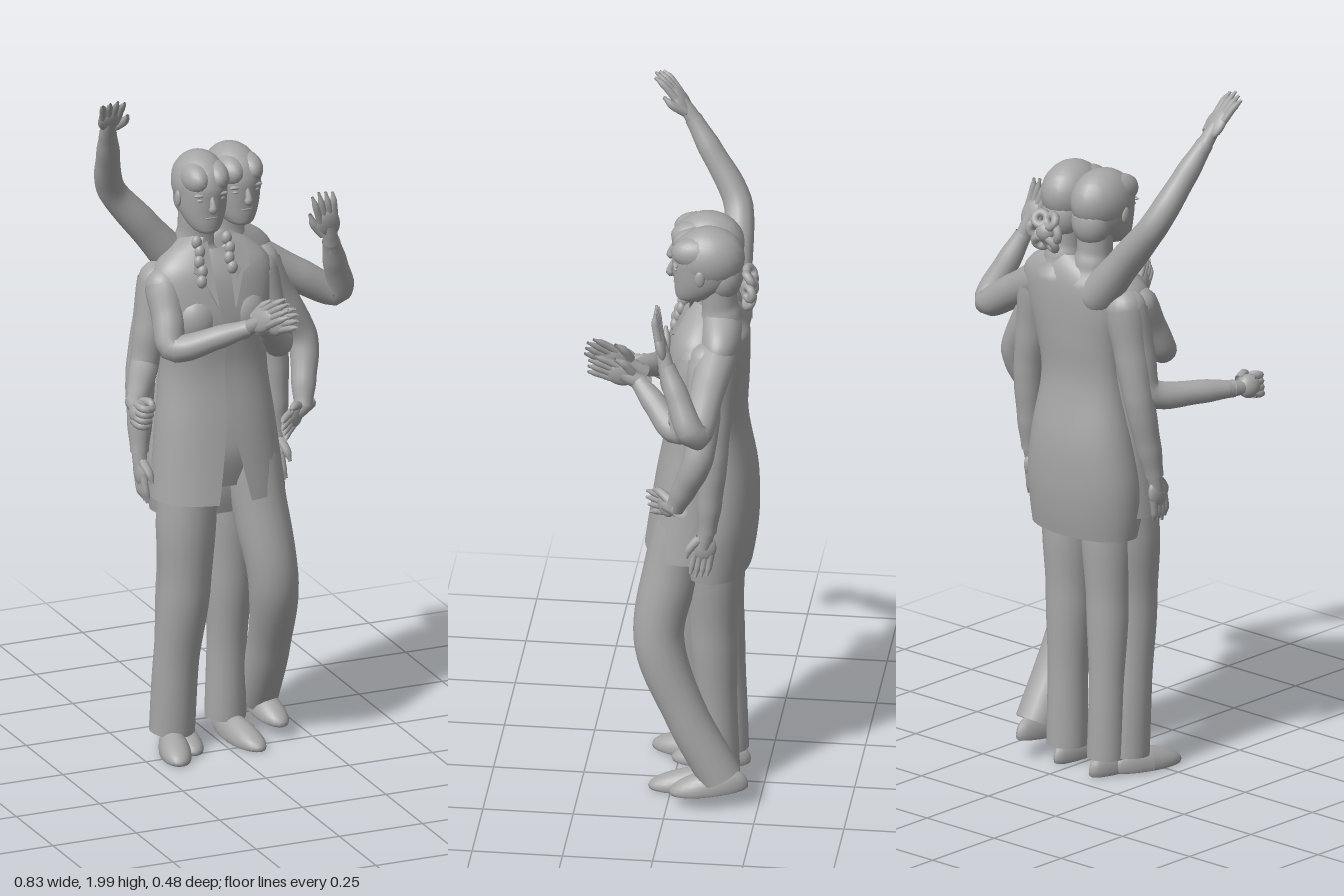
import * as THREE from 'three';
import { mergeVertices } from 'three/addons/utils/BufferGeometryUtils.js';

const grey = new THREE.MeshStandardMaterial({ color: 0xa6a6a6, side: THREE.DoubleSide });
grey.name = 'plain grey';
const V = (p) => new THREE.Vector3(...p);

function add(parent, name, geometry, pos = [0, 0, 0], scale = [1, 1, 1]) {
  const m = new THREE.Mesh(geometry, grey);
  m.name = name;
  m.position.set(...pos);
  m.scale.set(...scale);
  parent.add(m);
  return m;
}
const blob = (parent, name, pos, scale) => add(parent, name, new THREE.SphereGeometry(1, 20, 14), pos, scale);

// Smooth tube through points, with one radius per point
function limb(points, radii, sides = 14, seg = 24) {
  const curve = new THREE.CatmullRomCurve3(points.map(V), false, 'centripetal');
  const g = new THREE.TubeGeometry(curve, seg, 1, sides, false);
  const pos = g.attributes.position, v = new THREE.Vector3();
  for (let i = 0; i <= seg; i++) {
    const u = i / seg, c = curve.getPointAt(u);
    const f = curve.getUtoTmapping(u) * (radii.length - 1);
    const k = Math.min(Math.floor(f), radii.length - 2);
    const r = THREE.MathUtils.lerp(radii[k], radii[k + 1], THREE.MathUtils.smoothstep(f - k, 0, 1));
    for (let j = 0; j <= sides; j++) {
      const n = i * (sides + 1) + j;
      v.fromBufferAttribute(pos, n).sub(c).multiplyScalar(r).add(c);
      pos.setXYZ(n, v.x, v.y, v.z);
    }
  }
  return smooth(g);
}

function smooth(g) {
  g.deleteAttribute('normal');
  g.deleteAttribute('uv');
  const m = mergeVertices(g, 1e-5);
  m.computeVertexNormals();
  return m;
}

// Loft through sections [y, cx, cz, rx, rz, frontGap], listed from the top down
function loft(sections, power = 2, U = 40, W = 40) {
  const g = new THREE.PlaneGeometry(1, 1, U, W), pos = g.attributes.position;
  const at = (i, c) => sections[Math.max(0, Math.min(sections.length - 1, i))][c] || 0;
  const sample = (f, c) => {
    const k = Math.min(Math.floor(f), sections.length - 2), t = f - k;
    const [a, b, d, e] = [at(k - 1, c), at(k, c), at(k + 1, c), at(k + 2, c)];
    return 0.5 * (2 * b + (d - a) * t + (2 * a - 5 * b + 4 * d - e) * t * t + (3 * b - a - 3 * d + e) * t * t * t);
  };
  const bend = (s) => Math.sign(s) * Math.pow(Math.abs(s), 2 / power);
  for (let j = 0; j <= W; j++) {
    const f = (j / W) * (sections.length - 1);
    const [y, cx, cz, rx, rz, gap] = [0, 1, 2, 3, 4, 5].map((c) => sample(f, c));
    for (let i = 0; i <= U; i++) {
      const g0 = Math.max(0, gap);
      const th = g0 + (i / U) * (2 * Math.PI - 2 * g0);
      pos.setXYZ(j * (U + 1) + i, cx + Math.max(0, rx) * bend(Math.sin(th)), y, cz + Math.max(0, rz) * bend(Math.cos(th)));
    }
  }
  return smooth(g);
}

// Hand reaching from wrist to fingertip; side points towards the thumb
function hand(parent, name, wrist, tip, side, spread) {
  const g = new THREE.Group();
  g.name = name;
  const fist = spread === 0;
  const y = V(tip).sub(V(wrist)), L = y.length();
  y.normalize();
  const z = V(side).cross(y).normalize(), x = y.clone().cross(z);
  g.quaternion.setFromRotationMatrix(new THREE.Matrix4().makeBasis(x, y, z));
  g.position.set(...wrist);
  add(g, 'wrist', limb([[0, -0.03, 0], [0, 0.02, 0], [0, L * 0.35, 0]], [0.024, 0.021, 0.018], 10, 8));
  blob(g, 'palm', [0, L * (fist ? 0.5 : 0.36), 0], [0.034, L * (fist ? 0.36 : 0.29), fist ? 0.026 : 0.016]);
  for (let i = 0; i < 4; i++) {
    const s = 1.5 - i, reach = L * (1 - 0.05 * Math.abs(s - 0.4));
    const path = fist
      ? [[s * 0.016, L * 0.55, -0.012], [s * 0.017, L * 0.9, 0.0], [s * 0.017, L * 0.85, 0.024], [s * 0.016, L * 0.55, 0.03]]
      : [[s * 0.014, L * 0.45, 0], [s * (0.014 + spread * 0.005), L * 0.75, 0.004], [s * (0.013 + spread * 0.01), reach, 0.012]];
    add(g, 'finger', limb(path, fist ? [0.01, 0.011, 0.011, 0.006] : [0.011, 0.01, 0.004], 8, 10));
  }
  const thumb = fist ? [[0.02, L * 0.25, 0.01], [0.034, L * 0.55, 0.025], [0.015, L * 0.75, 0.038]]
    : [[0.018, L * 0.18, 0], [0.038, L * 0.4, 0.01], [0.043, L * 0.6, 0.016]];
  add(g, 'thumb', limb(thumb, [0.014, 0.012, 0.005], 8, 8));
  parent.add(g);
}

function head(parent, name, x, y, z, turn) {
  const g = new THREE.Group();
  g.name = name;
  g.position.set(x, y, z);
  g.rotation.y = turn;
  add(g, 'skull', loft([
    [0.212, 0, -0.01, 0, 0], [0.203, 0, -0.008, 0.036, 0.05], [0.18, 0, -0.004, 0.058, 0.082],
    [0.14, 0, 0, 0.07, 0.096], [0.1, 0, 0.001, 0.07, 0.094], [0.06, 0, 0.01, 0.064, 0.081],
    [0.025, 0, 0.028, 0.049, 0.06], [0.005, 0, 0.042, 0.03, 0.038], [0, 0, 0.045, 0, 0]], 2.1));
  blob(g, 'hair', [0, 0.13, -0.006], [0.0765, 0.088, 0.099]);
  blob(g, 'napeHair', [0, 0.075, -0.045], [0.06, 0.07, 0.055]);
  for (const s of [-1, 1]) {
    blob(g, 'foreheadHair', [s * 0.028, 0.155, 0.03], [0.04, 0.045, 0.066]);
    blob(g, 'ear', [s * 0.071, 0.095, 0.015], [0.008, 0.024, 0.014]);
    blob(g, 'eye', [s * 0.027, 0.106, 0.083], [0.014, 0.005, 0.007]);
    blob(g, 'brow', [s * 0.028, 0.12, 0.083], [0.022, 0.006, 0.009]);
  }
  add(g, 'nose', limb([[0, 0.118, 0.09], [0, 0.092, 0.1], [0, 0.08, 0.101], [0, 0.072, 0.088]], [0.006, 0.009, 0.013, 0.005], 10, 10));
  blob(g, 'upperLip', [0, 0.053, 0.085], [0.02, 0.004, 0.007]);
  blob(g, 'lowerLip', [0, 0.044, 0.083], [0.017, 0.005, 0.007]);
  add(g, 'neck', limb([[0, 0.08, -0.03], [0, -0.01, -0.035], [0, -0.05, -0.04], [0, -0.1, -0.04]], [0.05, 0.05, 0.057, 0.08]));
  parent.add(g);
  return g;
}

// Shoe with a flat sole, lower at the toe
function shoe(parent, name, x, y, z, length, turn, pitch) {
  const s = new THREE.SphereGeometry(1, 24, 16), p = s.attributes.position;
  for (let i = 0; i < p.count; i++) {
    const t = p.getZ(i);
    p.setXYZ(i, p.getX(i) * (0.042 + 0.008 * t), Math.max(0, p.getY(i) + 0.25) * (0.05 - 0.015 * t), t * length / 2);
  }
  s.computeVertexNormals();
  add(parent, name, s, [x, y, z]).rotation.set(pitch, turn, 0, 'YXZ');
}

export function createModel() {
  const model = new THREE.Group();
  model.name = 'twoDancers';

  // Front figure: open jacket over a shirt
  add(model, 'frontJacket', loft([
    [1.49, -0.02, -0.1, 0.06, 0.045, 0.5], [1.455, -0.02, -0.09, 0.12, 0.062, 0.4],
    [1.41, -0.02, -0.08, 0.165, 0.08, 0.25], [1.35, -0.02, -0.075, 0.178, 0.092, 0.14], [1.26, -0.02, -0.07, 0.168, 0.1, 0.05],
    [1.12, -0.02, -0.07, 0.156, 0.092, 0.01], [0.95, -0.018, -0.06, 0.173, 0.11, 0.06],
    [0.75, -0.014, -0.05, 0.193, 0.13, 0.22]], 2.2));
  add(model, 'frontShirt', loft([
    [1.46, -0.02, -0.09, 0.06, 0.05], [1.38, -0.02, -0.075, 0.15, 0.076], [1.25, -0.02, -0.07, 0.155, 0.088],
    [1.1, -0.02, -0.07, 0.145, 0.082], [0.95, -0.015, -0.06, 0.16, 0.095], [0.87, -0.01, -0.06, 0.165, 0.1],
    [0.78, -0.01, -0.06, 0.16, 0.08]], 2.2));
  for (const s of [-1, 1]) {
    blob(model, 'bust', [-0.02 + s * 0.07, 1.27, -0.02], [0.065, 0.075, 0.054]);
    const lapel = new THREE.Shape([[0, 0.1], [0.035, 0.085], [0.055, 0.02], [0.03, 0.0], [-0.005, -0.09]]
      .map(([a, b]) => new THREE.Vector2(a * s, b)));
    const m = add(model, 'lapel', new THREE.ExtrudeGeometry(lapel, { depth: 0.008, bevelEnabled: false }), [-0.02 + s * 0.03, 1.39, -0.004]);
    m.rotation.x = -0.4;
  }

  // Rear figure: longer closed tunic with narrow waist and full hips
  add(model, 'rearTunic', loft([
    [1.49, 0.04, -0.135, 0.06, 0.045], [1.455, 0.03, -0.14, 0.125, 0.058], [1.41, 0.02, -0.14, 0.165, 0.068],
    [1.34, 0.01, -0.135, 0.165, 0.075], [1.25, 0, -0.13, 0.145, 0.077], [1.13, -0.01, -0.125, 0.136, 0.078],
    [0.97, -0.012, -0.125, 0.165, 0.105], [0.85, -0.012, -0.12, 0.183, 0.114], [0.76, -0.012, -0.115, 0.182, 0.112],
    [0.69, -0.01, -0.115, 0.174, 0.1]], 2.1));

  // Heads, bun and braids
  head(model, 'frontHead', -0.05, 1.515, -0.085, -0.05);
  const rear = head(model, 'rearHead', 0.052, 1.52, -0.097, 0.05);
  for (let i = 0; i < 6; i++) {
    const a = (i / 6) * Math.PI * 2;
    const c = add(rear, 'bunCurl', new THREE.TorusGeometry(0.018, 0.012, 8, 14),
      [Math.cos(a) * 0.036, 0.04 + Math.sin(a) * 0.038, -0.118]);
    c.rotation.set(Math.sin(a) * 0.6, Math.cos(a) * 0.6, 0);
  }
  blob(rear, 'bunCentre', [0, 0.04, -0.118], [0.03, 0.03, 0.026]);
  for (const [x, n] of [[-0.085, 5], [0.005, 4]])
    for (let i = 0; i < n; i++)
      blob(model, 'braid', [x + (i % 2) * 0.006, 1.49 - i * 0.026, -0.03 + i * 0.009], [0.015, 0.019, 0.013]);

  // Arms: shoulder, elbow, wrist, fingertip, thumb side, finger spread (0 makes a fist), thickness
  const arms = [
    ['raisedArm', [-0.09, 1.39, -0.15], [-0.3, 1.645, -0.145], [-0.36, 1.86, -0.01], [-0.385, 1.995, 0.085], [1, 0, 0.2], 0.7, 0.9],
    ['fistArm', [-0.165, 1.36, -0.11], [-0.22, 1.11, -0.09], [-0.34, 1.105, 0.13], [-0.362, 1.1, 0.225], [0.2, 1, 0], 0, 0.9],
    ['rightHangingArm', [-0.16, 1.36, -0.12], [-0.215, 1.1, -0.12], [-0.235, 0.88, -0.08], [-0.24, 0.74, -0.05], [0, 0, 1], 0.2, 0.95],
    ['leftHangingArm', [0.15, 1.36, -0.13], [0.19, 1.1, -0.13], [0.195, 0.87, -0.115], [0.19, 0.73, -0.09], [0, 0, 1], 0.2, 0.95],
    ['hipArm', [0.14, 1.37, -0.11], [0.27, 1.13, -0.1], [0.235, 0.96, -0.03], [0.125, 0.925, 0.05], [0, 1, 0], 0.7, 0.95],
    ['wavingArm', [0.12, 1.39, -0.135], [0.38, 1.245, -0.1], [0.312, 1.44, -0.015], [0.27, 1.6, 0.03], [-1, 0, 0], 0.7, 0.92],
    ['rightClappingArm', [-0.165, 1.36, -0.07], [-0.18, 1.2, 0.02], [0.012, 1.27, 0.105], [0.065, 1.37, 0.24], [0, 1, -0.6], 0.4, 0.88],
    ['leftClappingArm', [0.12, 1.36, -0.08], [0.165, 1.15, -0.03], [0.07, 1.26, 0.09], [0.095, 1.33, 0.23], [0, 1, -0.5], 0.4, 0.92],
  ];
  const mid = (a, b, t) => a.map((v, i) => v + (b[i] - v) * t);
  for (const [name, s, e, w, tip, side, spread, k] of arms) {
    add(model, name, limb([s, mid(s, e, 0.5), mid(s, e, 0.93), mid(e, w, 0.15), mid(e, w, 0.6), w],
      [0.062, 0.052, 0.045, 0.043, 0.037, 0.027].map((r) => r * k), 16, 32));
    blob(model, name + 'Shoulder', s, [0.06 * k, 0.06 * k, 0.058 * k]);
    hand(model, name + 'Hand', w, tip, side, spread);
  }

  // Trouser legs, loose at the hem
  const legs = [
    ['frontRightLeg', [[-0.1, 0.84, -0.05], [-0.11, 0.68, -0.045], [-0.115, 0.48, -0.045], [-0.13, 0.25, -0.07], [-0.135, 0.05, -0.085]], [0.085, 0.084, 0.073, 0.064, 0.064]],
    ['rearRightLeg', [[-0.08, 0.84, -0.11], [-0.09, 0.68, -0.115], [-0.1, 0.48, -0.12], [-0.11, 0.25, -0.135], [-0.11, 0.05, -0.14]], [0.08, 0.072, 0.062, 0.052, 0.054]],
    ['straightLeftLeg', [[0.06, 0.84, -0.1], [0.055, 0.68, -0.11], [0.05, 0.48, -0.115], [0.047, 0.25, -0.125], [0.045, 0.05, -0.13]], [0.085, 0.076, 0.066, 0.056, 0.058]],
    ['bentLeftLeg', [[0.075, 0.84, -0.04], [0.095, 0.68, 0.0], [0.12, 0.49, 0.028], [0.14, 0.27, -0.05], [0.145, 0.09, -0.145]], [0.085, 0.077, 0.07, 0.06, 0.061]],
  ];
  for (const [name, path, radii] of legs) add(model, name, limb(path, radii, 20, 36));
  shoe(model, 'frontRightShoe', -0.155, 0, -0.025, 0.22, -0.25, 0);
  shoe(model, 'rearRightShoe', -0.105, 0, -0.09, 0.22, 0, 0);
  shoe(model, 'straightLeftShoe', 0.055, 0, -0.06, 0.25, 0.12, 0);
  shoe(model, 'bentLeftShoe', 0.155, 0.045, -0.115, 0.22, 0.1, 0.1);
  return model;
}
